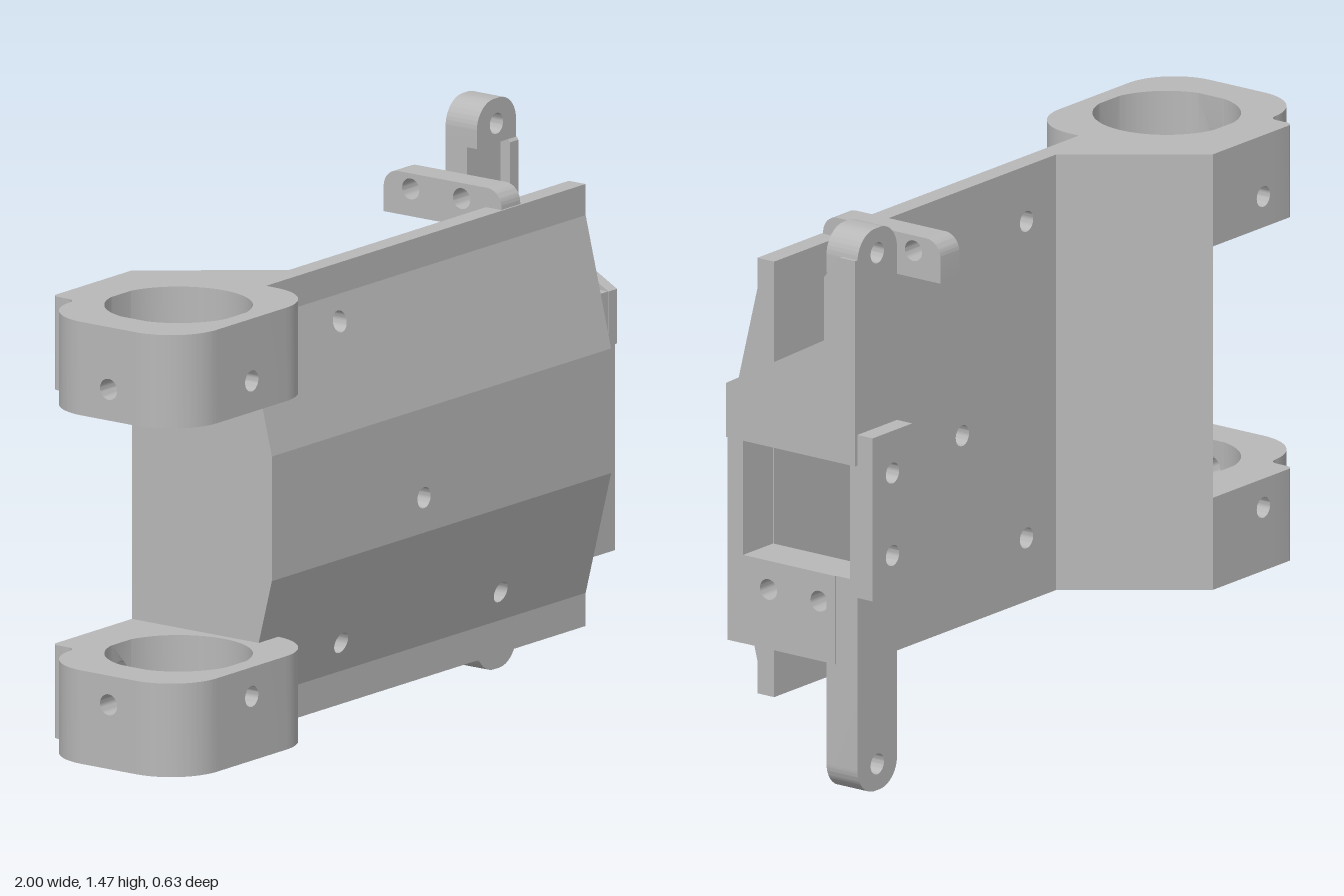
import * as THREE from 'three';
import { toCreasedNormals } from 'three/addons/utils/BufferGeometryUtils.js';

const HOLE = 0.027;

export function createModel() {
  const model = new THREE.Group();
  const grey = new THREE.MeshStandardMaterial({ color: 0xb8b8b8 });

  const add = (name, geometry, parent = model) => {
    const mesh = new THREE.Mesh(toCreasedNormals(geometry, 0.5), grey);
    mesh.name = name;
    parent.add(mesh);
    return mesh;
  };
  const extrude = (shape, depth) =>
    new THREE.ExtrudeGeometry(shape, { depth, bevelEnabled: false, curveSegments: 16 });
  const polygon = (points) => new THREE.Shape(points.map(([x, y]) => new THREE.Vector2(x, y)));
  const drill = (shape, holes) => {
    for (const [x, y] of holes) shape.holes.push(new THREE.Path().absarc(x, y, HOLE, 0, Math.PI * 2, true));
    return shape;
  };
  // Rectangle with separate corner radii for the bottom and the top
  const rect = (x0, x1, y0, y1, rb = 0, rt = 0) => {
    const s = new THREE.Shape();
    s.moveTo(x0 + rb, y0).lineTo(x1 - rb, y0);
    if (rb) s.absarc(x1 - rb, y0 + rb, rb, -Math.PI / 2, 0);
    s.lineTo(x1, y1 - rt);
    if (rt) s.absarc(x1 - rt, y1 - rt, rt, 0, Math.PI / 2);
    s.lineTo(x0 + rt, y1);
    if (rt) s.absarc(x0 + rt, y1 - rt, rt, Math.PI / 2, Math.PI);
    s.lineTo(x0, y0 + rb);
    if (rb) s.absarc(x0 + rb, y0 + rb, rb, Math.PI, Math.PI * 1.5);
    return s;
  };
  // Extrusions along each axis: shapes are (x, y), (-z, y) and (x, -z)
  const alongZ = (shape, z0, z1) => extrude(shape, z1 - z0).translate(0, 0, z0);
  const alongX = (shape, x0, x1) => extrude(shape, x1 - x0).rotateY(Math.PI / 2).translate(x0, 0, 0);
  const alongY = (shape, y0, y1) => extrude(shape, y1 - y0).rotateX(-Math.PI / 2).translate(0, y0, 0);

  // Faceted cover plate, one band per facet: [y, front z]
  const plate = new THREE.Group();
  plate.name = 'coverPlate';
  model.add(plate);
  const profile = [[0.165, 0.14], [0.25, 0.14], [0.57, 0.22], [0.89, 0.22], [1.22, 0.14], [1.3, 0.14]];
  const plateHoles = [[-0.15, 1.155], [0.11, 0.66], [-0.15, 0.33], [0.5, 0.33]];
  for (let i = 0; i < profile.length - 1; i++) {
    const [y0, z0] = profile[i], [y1, z1] = profile[i + 1];
    const holes = plateHoles.filter(([, y]) => y > y0 && y < y1);
    const g = extrude(drill(rect(-0.51, 0.872, y0, y1), holes), 1);
    const p = g.attributes.position;
    for (let k = 0; k < p.count; k++) {
      const front = z0 + (z1 - z0) * (p.getY(k) - y0) / (y1 - y0);
      p.setZ(k, p.getZ(k) > 0.5 ? front : 0.087);
    }
    add('plateBand' + (i + 1), g, plate);
  }

  // Sloped web joining the plate to the clamps
  add('web', alongY(polygon([[-0.51, -0.09], [-0.27, -0.087], [-0.51, 0.22]]), 0.405, 1.06));

  // Ring clamps: three wall pieces and three drilled wall sections
  const cx = -0.715, cv = -0.085, r = 0.185, h = 0.04, a = Math.asin(h / r), c = 0.145, P = Math.PI;
  const right = new THREE.Shape();
  right.moveTo(cx + h, -0.315).lineTo(-0.575, -0.315);
  right.absarc(-0.575, -0.17, c, -P / 2, 0);
  right.lineTo(-0.43, -0.087).lineTo(-0.27, -0.087).lineTo(-0.51, 0.22).lineTo(cx + h, 0.22);
  right.absarc(cx, cv, r, P / 2 - a, -P / 2 + a, true);

  const back = new THREE.Shape();
  back.moveTo(cx - h, 0.22).lineTo(-0.815, 0.22);
  back.quadraticCurveTo(-0.835, 0.22, -0.835, 0.2).lineTo(-0.835, 0.17);
  back.quadraticCurveTo(-0.835, 0.15, -0.855, 0.145);
  back.absarc(-0.855, 0, c, P / 2, P);
  back.lineTo(-1, cv + h);
  back.absarc(cx, cv, r, P - a, P / 2 + a, true);

  const front = new THREE.Shape();
  front.moveTo(-1, cv - h).lineTo(-1, -0.17);
  front.absarc(-0.855, -0.17, c, P, P * 1.5);
  front.lineTo(cx - h, -0.315);
  front.absarc(cx, cv, r, P * 1.5 - a, P + a, true);

  // Wall section with a flat outside, a curved inside and a screw hole
  const drilledWall = (y0, y1, holeY, outer, angle) => {
    const g = extrude(drill(rect(-h, h, y0, y1), [[0, holeY]]), 1);
    const p = g.attributes.position;
    for (let k = 0; k < p.count; k++)
      p.setZ(k, p.getZ(k) > 0.5 ? outer : Math.sqrt(r * r - p.getX(k) ** 2));
    return g.rotateY(angle).translate(cx, 0, -cv);
  };
  for (const [name, y0, y1, holeY] of [['upperClamp', 1.06, 1.3, 1.14], ['lowerClamp', 0.165, 0.405, 0.33]]) {
    const clamp = new THREE.Group();
    clamp.name = name;
    model.add(clamp);
    for (const wall of [right, back, front]) add('clampWall', alongY(wall, y0, y1), clamp);
    for (const [outer, angle] of [[0.23, 0], [0.305, P], [0.285, -P / 2]])
      add('drilledWall', drilledWall(y0, y1, holeY, outer, angle), clamp);
  }

  // Small drilled lug on the top edge
  add('topLug', alongX(drill(rect(-0.135, 0.235, 1.24, 1.35, 0, 0.045), [[-0.01, 1.31], [0.15, 1.31]]), 0.535, 0.612));

  // Side bracket
  const bracket = new THREE.Group();
  bracket.name = 'sideBracket';
  model.add(bracket);
  const barX = 0.91;
  add('barLower', alongZ(drill(rect(0.83, 0.99, 0, 0.565, 0.07), [[barX, 0.068]]), -0.268, -0.17), bracket);
  add('barUpper', alongZ(rect(0.83, 0.99, 0.865, 1.35), -0.268, -0.2), bracket);
  add('barHead', alongZ(drill(rect(0.83, 0.99, 1.35, 1.465, 0, 0.07), [[barX, 1.4]]), -0.268, -0.17), bracket);
  add('rearPad', alongZ(drill(rect(0.83, 0.99, 0.52, 0.945), [[barX, 0.62], [barX, 0.835]]), -0.316, -0.245), bracket);
  add('frontPost', alongZ(rect(0.872, 0.995, 0.335, 1.005), 0.09, 0.138), bracket);
  add('lowerBlock', alongX(drill(rect(-0.137, 0.2, 0.335, 0.565), [[-0.01, 0.49], [0.15, 0.49]]), 0.872, 0.994), bracket);
  add('gusset', alongY(polygon([[0.72, -0.087], [0.9, -0.087], [0.9, 0.17], [0.85, 0.17]]), 0.335, 0.4), bracket);
  add('sideArm', alongX(polygon([
    [-0.14, 0.865], [0.268, 0.865], [0.268, 1.4], [0.22, 1.4], [0.17, 1.34], [0.17, 1.175], [-0.14, 1.005],
  ]), 0.965, 1), bracket);

  return model;
}
